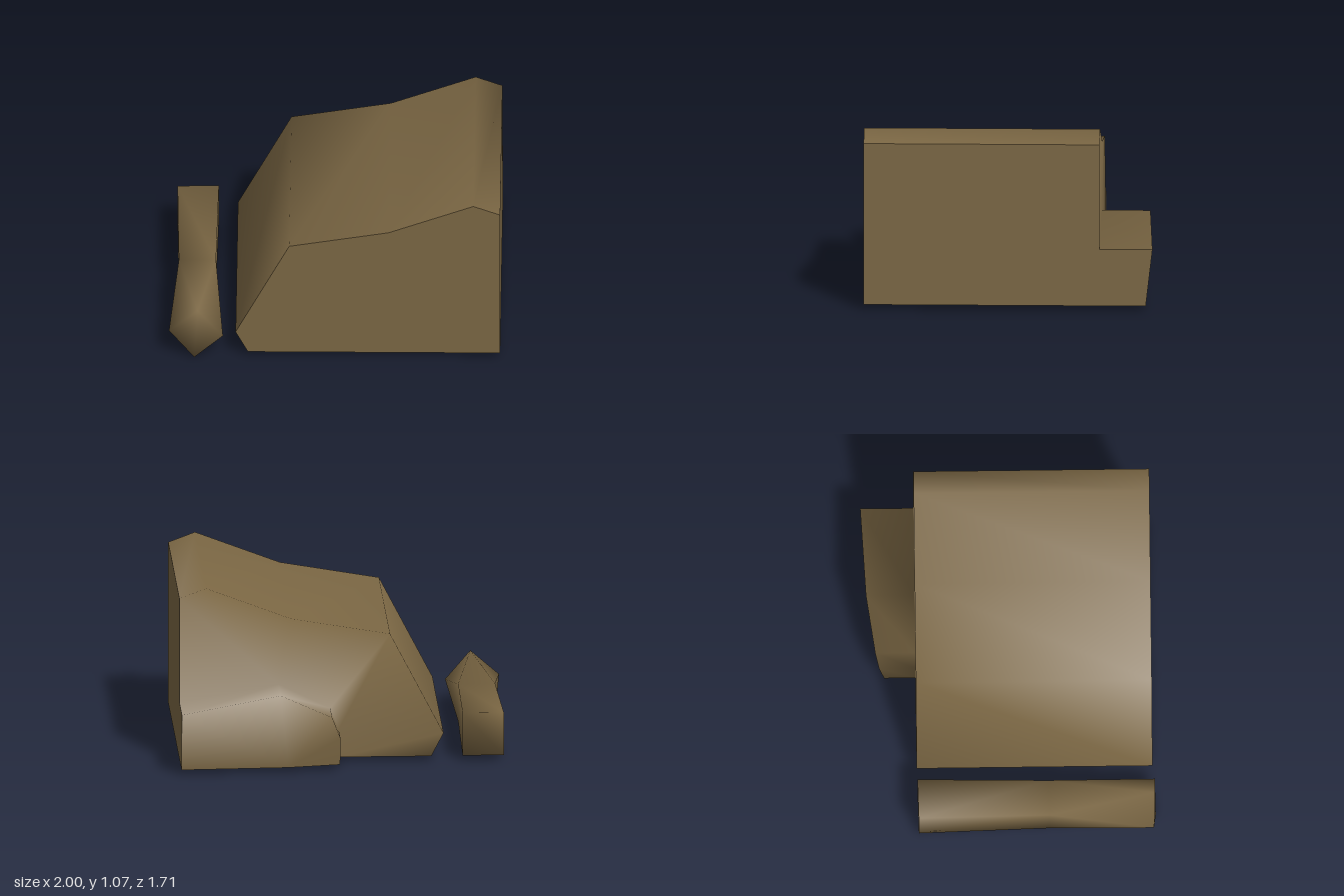
import * as THREE from 'three';

const wood = new THREE.MeshStandardMaterial({ color: 0x7a6643, side: THREE.DoubleSide });
wood.name = 'brown';

// Mesh from points and triangles; shared points give smooth normals
function facetMesh(name, points, faces) {
  const g = new THREE.BufferGeometry();
  g.setAttribute('position', new THREE.Float32BufferAttribute(points.flat(), 3));
  g.setIndex(faces.flat());
  g.computeVertexNormals();
  const m = new THREE.Mesh(g, wood);
  m.name = name;
  return m;
}

function createBody() {
  const body = new THREE.Group();
  body.name = 'body';
  const zF = 0.835, zB = -0.565, xR = 0.982, y0 = 0.03;
  // main outline, from lower left over the top to the right
  const P = [[-0.515, y0], [-0.588, 0.17], [-0.27, 0.78], [0.32, 0.88], [0.823, 1.07], [xR, 1.01]];
  // outline of the rear block where it meets the back wall, and its far end
  const W = [[xR, 0.375], [0.393, 0.48], [0.085, 0.33], [0.035, 0.2], [0.035, y0]];
  const endZ = [-0.88, -0.853, -0.802, -0.78, -0.75];
  const pts = [
    ...P.map(([x, y]) => [x, y, zF]),
    ...P.map(([x, y]) => [x, y, zB]),
    ...W.map(([x, y]) => [x, y, zB]),
    ...W.map(([x, y], i) => [x, y, endZ[i]]),
    [0.344, y0, -0.81], [xR, y0, -0.84],
  ];
  const b = 6, w = 12, o = 17, mid = 22, corner = 23;
  const faces = [];
  // roof and left slope
  for (let i = 0; i < 5; i++) faces.push([i, i + 1, b + i + 1], [i, b + i + 1, b + i]);
  // back wall around the rear block
  faces.push([b, b + 1, w + 4], [b + 1, w + 3, w + 4], [b + 1, b + 2, w + 3],
    [b + 2, w + 2, w + 3], [b + 2, w + 1, w + 2], [b + 2, b + 3, w + 1],
    [b + 3, b + 4, w + 1], [b + 4, b + 5, w + 1], [b + 5, w, w + 1]);
  // rear block top, side and end
  for (let i = 0; i < 4; i++) {
    faces.push([w + i + 1, w + i, o + i], [w + i + 1, o + i, o + i + 1]);
    faces.push([mid, o + i + 1, o + i]);
  }
  faces.push([corner, mid, o]);
  body.add(facetMesh('shell', pts, faces));

  // flat front
  body.add(facetMesh('frontFace', [...P.map(([x, y]) => [x, y, zF]), [xR, y0, zF]],
    [0, 1, 2, 3, 4].map(i => [6, i + 1, i])));
  // flat side, including the side of the rear block
  const side = [[zF, y0], [-0.84, y0], [-0.88, 0.375], [zB, 0.375], [zB, 1.01], [zF, 1.01]];
  body.add(facetMesh('sideFace', side.map(([z, y]) => [xR, y, z]),
    [[3, 4, 5], [3, 5, 0], [3, 0, 1], [3, 1, 2]]));
  body.rotation.y = -0.02;
  return body;
}

// Four-sided beam whose front end twists by an eighth of a turn
function createBeam() {
  const square = (x0, x1, ya, yb, z) => [[x1, yb, z], [x0, yb, z], [x0, ya, z], [x1, ya, z]];
  const pts = [
    ...square(-0.935, -0.69, 0.03, 0.29, -0.575),
    ...square(-0.935, -0.715, 0.05, 0.275, 0.2),
    [-0.83, 0.325, 0.83], [-1, 0.18, 0.82], [-0.85, 0, 0.835], [-0.68, 0.15, 0.835],
  ];
  const faces = [[0, 2, 1], [0, 3, 2], [8, 9, 10], [8, 10, 11]];
  for (let r = 0; r < 8; r += 4) {
    for (let j = 0; j < 4; j++) {
      const k = (j + 1) % 4;
      faces.push([r + j, r + k, r + 4 + j], [r + k, r + 4 + k, r + 4 + j]);
    }
  }
  return facetMesh('beam', pts, faces);
}

export function createModel() {
  const model = new THREE.Group();
  model.name = 'woodenBlocks';
  model.add(createBody(), createBeam());
  return model;
}
